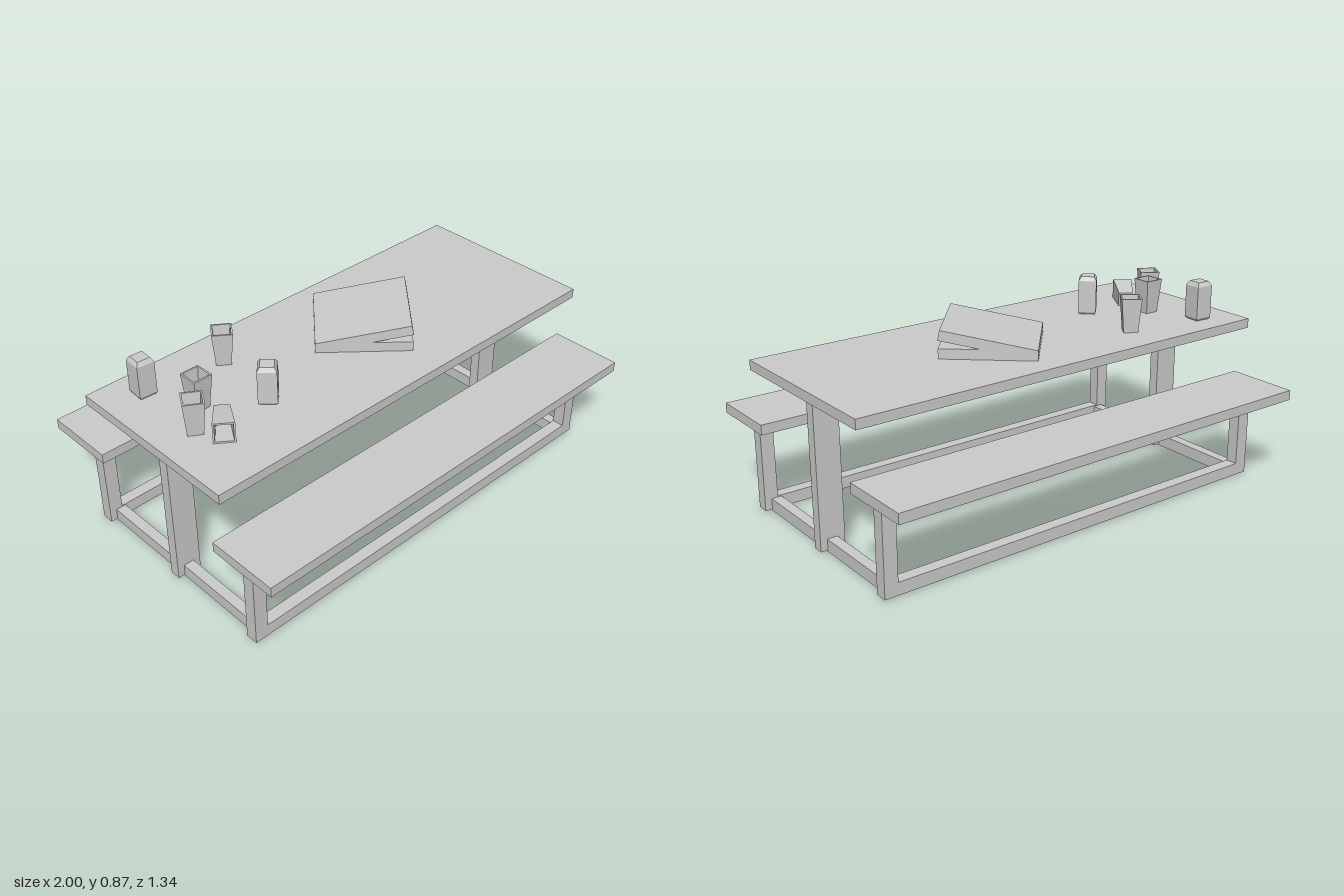
import * as THREE from 'three';

const grey = new THREE.MeshStandardMaterial({ color: 0xcccccc, flatShading: true });

// Box given by its min/max limits on each axis
function box(parent, name, [x0, x1], [y0, y1], [z0, z1]) {
  const mesh = new THREE.Mesh(new THREE.BoxGeometry(x1 - x0, y1 - y0, z1 - z0), grey);
  mesh.position.set((x0 + x1) / 2, (y0 + y1) / 2, (z0 + z1) / 2);
  mesh.name = name;
  parent.add(mesh);
  return mesh;
}

// Four-sided turned form; profile lists [half width, height]
function squareTurned(profile) {
  const points = profile.map(([h, y]) => new THREE.Vector2(h * Math.SQRT2, y));
  return new THREE.LatheGeometry(points, 4).rotateY(Math.PI / 4);
}

export function createModel() {
  const model = new THREE.Group();
  model.name = 'picnicTable';
  const TOP = 0.702;

  box(model, 'tableTop', [-1, 1], [0.66, TOP], [-0.407, 0.41]);

  // Benches with their long floor rails
  for (const [side, seat, leg] of [
    ['front', [0.35, 0.673], [0.461, 0.515]],
    ['back', [-0.67, -0.347], [-0.483, -0.429]],
  ]) {
    box(model, side + 'Bench', [-1, 1], [0.397, 0.441], seat);
    box(model, side + 'FloorRail', [-0.895, 0.895], [0.006, 0.06], leg);
    for (const [end, x] of [['Left', [0.895, 0.955]], ['Right', [-0.955, -0.895]]]) {
      box(model, side + end + 'BenchLeg', x, [0.006, 0.397], leg);
    }
  }

  // Table legs and the cross rails joining the benches
  for (const [end, legX, railX] of [
    ['left', [0.845, 0.955], [0.878, 0.924]],
    ['right', [-0.955, -0.845], [-0.924, -0.878]],
  ]) {
    box(model, end + 'TableLeg', legX, [0.006, 0.66], [-0.011, 0.036]);
    box(model, end + 'CrossRail', railX, [0, 0.055], [-0.435, 0.461]);
  }

  // Flat carton with a hollow lid hinged on its local -x edge
  const carton = new THREE.Group();
  carton.name = 'carton';
  carton.position.set(0.122, TOP, -0.024);
  carton.rotation.y = -0.723;
  model.add(carton);
  const L = 0.4, W = 0.392, H = 0.043, T = 0.008;
  box(carton, 'cartonBase', [-L / 2, L / 2], [0, H], [-W / 2, W / 2]);
  const lid = new THREE.Group();
  lid.name = 'cartonLid';
  lid.position.set(-L / 2, H, 0);
  lid.rotation.z = 0.19;
  carton.add(lid);
  box(lid, 'lidPanel', [0, L], [-T, 0], [-W / 2, W / 2]);
  box(lid, 'lidFrontWall', [L - T, L], [-H, -T], [-W / 2, W / 2]);
  box(lid, 'lidHingeWall', [0, T], [-H, -T], [-W / 2, W / 2]);
  for (const s of [-1, 1]) {
    const z = s * (W / 2 - T / 2);
    box(lid, 'lidSideWall', [T, L - T], [-H, -T], [z - T / 2, z + T / 2]);
  }

  // Open tapered cups
  const CUP_H = 0.15, BASE = 0.031, RIM = 0.043;
  const cupShape = squareTurned([
    [0, 0], [BASE, 0], [RIM, CUP_H], [RIM - 0.007, CUP_H], [BASE - 0.006, 0.008], [0, 0.008],
  ]);
  for (const [x, z, turn] of [[-0.725, -0.05, 0], [-0.83, 0.06, -0.55], [-0.463, -0.222, -0.62]]) {
    const cup = new THREE.Mesh(cupShape, grey);
    cup.name = 'cup';
    cup.position.set(x, TOP, z);
    cup.rotation.y = turn;
    model.add(cup);
  }

  // Tipped cup resting on one side, mouth towards the front right
  const tipped = new THREE.Group();
  tipped.name = 'tippedCup';
  tipped.position.set(-0.706, TOP, 0.072);
  tipped.rotation.y = Math.atan2(-0.094, 0.128);
  const tippedCup = new THREE.Mesh(cupShape, grey);
  tippedCup.name = 'tippedCupBody';
  const taper = Math.atan((RIM - BASE) / CUP_H);
  tippedCup.rotation.x = Math.PI / 2 - taper;
  tippedCup.position.y = BASE * Math.cos(taper);
  tipped.add(tippedCup);
  model.add(tipped);

  // Drink cans with bevelled ends
  const canShape = squareTurned([
    [0, 0], [0.033, 0], [0.039, 0.01], [0.039, 0.152], [0.028, 0.17], [0, 0.17],
  ]);
  for (const [x, z, turn] of [[-0.825, -0.266, -0.07], [-0.503, 0.102, -0.76]]) {
    const can = new THREE.Mesh(canShape, grey);
    can.name = 'can';
    can.position.set(x, TOP, z);
    can.rotation.y = turn;
    model.add(can);
  }

  return model;
}
